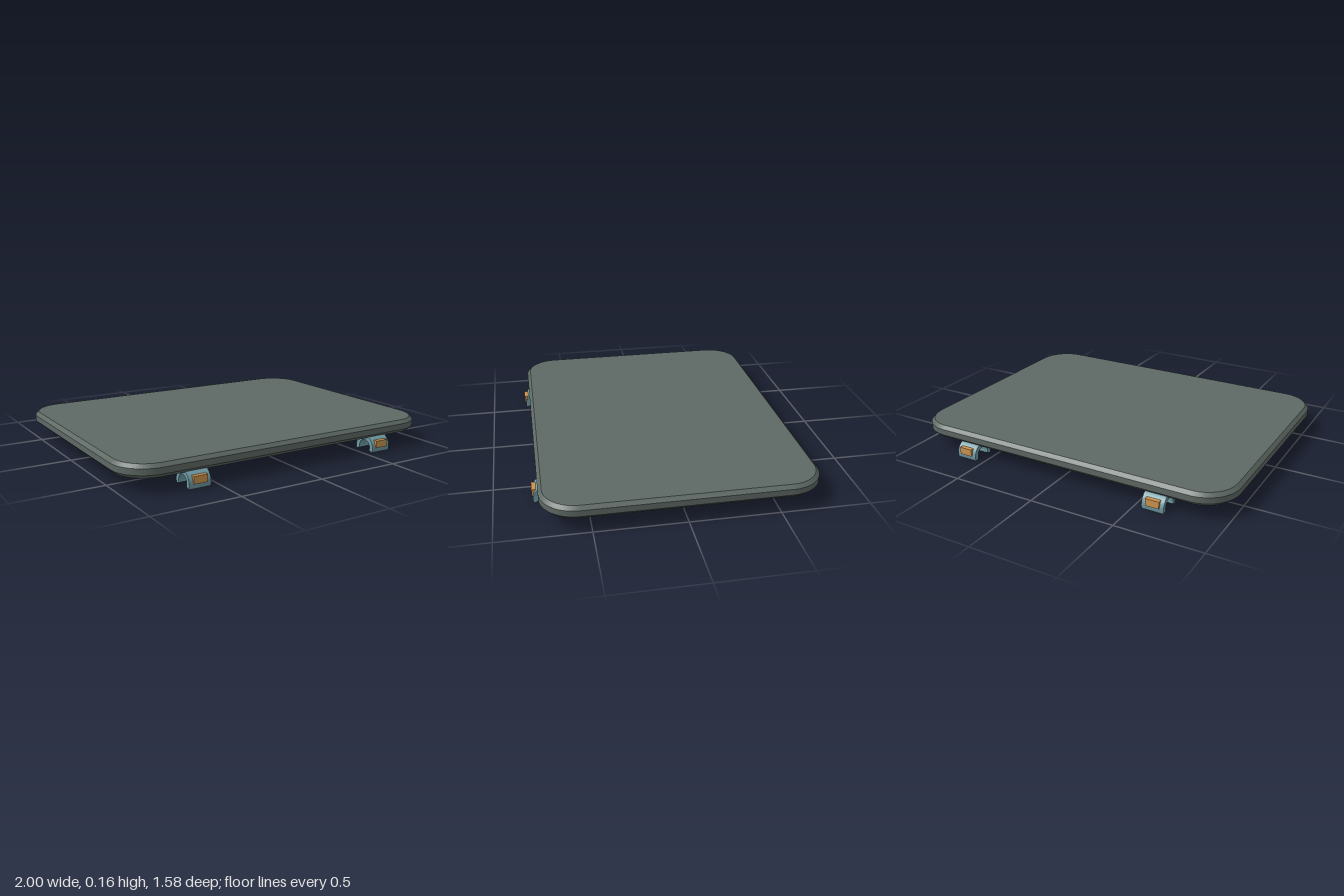
import * as THREE from 'three';

const slate = new THREE.MeshStandardMaterial({ name: 'slate grey', color: 0x5e6964 });
const teal = new THREE.MeshStandardMaterial({ name: 'dusty teal', color: 0x6f9ba5 });
const amber = new THREE.MeshStandardMaterial({ name: 'amber', color: 0xd0954e });

function addMesh(parent, name, geometry, material, x = 0, y = 0, z = 0) {
  const mesh = new THREE.Mesh(geometry, material);
  mesh.name = name;
  mesh.position.set(x, y, z);
  parent.add(mesh);
  return mesh;
}

// Rounded rectangle outline with half sizes w, h and corner radius r
function roundedRect(w, h, r) {
  const s = new THREE.Shape();
  s.absarc(w - r, h - r, r, 0, Math.PI / 2);
  s.absarc(r - w, h - r, r, Math.PI / 2, Math.PI);
  s.absarc(r - w, r - h, r, Math.PI, Math.PI * 1.5);
  s.absarc(w - r, r - h, r, Math.PI * 1.5, Math.PI * 2);
  s.closePath();
  return s;
}

// Chamfered slab lying flat
function slabGeometry() {
  const bevel = 0.02;
  const g = new THREE.ExtrudeGeometry(roundedRect(1 - bevel, 0.76 - bevel, 0.18), {
    depth: 0.035, bevelEnabled: true, bevelSize: bevel, bevelThickness: bevel,
    bevelSegments: 1, curveSegments: 10,
  });
  g.rotateX(-Math.PI / 2);
  g.translate(0, 0.08 + bevel, 0);
  return g;
}

// C-shaped snap clip, open at the bottom, running along x
function clipGeometry(width) {
  const dip = 0.33;
  const s = new THREE.Shape();
  s.absarc(0, 0, 0.069, -dip, Math.PI + dip, false);
  s.absarc(0, 0, 0.043, Math.PI + dip, -dip, true);
  s.closePath();
  const g = new THREE.ExtrudeGeometry(s, { depth: width, bevelEnabled: false, curveSegments: 14 });
  g.translate(0, 0, -width / 2);
  g.rotateY(Math.PI / 2);
  return g;
}

export function createModel() {
  const model = new THREE.Group();
  model.name = 'clipOnTray';

  addMesh(model, 'panel', slabGeometry(), slate);

  // Stiffening ribs underneath
  const rib = new THREE.BoxGeometry(1.64, 0.04, 0.085);
  for (const z of [-0.417, 0, 0.417]) addMesh(model, 'rib', rib, slate, 0, 0.07, z);

  // Four clips with release tabs on their outer sides
  const clip = clipGeometry(0.128);
  const tab = new THREE.BoxGeometry(0.08, 0.042, 0.03);
  for (const side of [-1, 1]) {
    for (const x of [-0.61, 0.61]) {
      const group = new THREE.Group();
      group.name = 'clipAssembly';
      group.position.set(x, 0.022, side * 0.717);
      addMesh(group, 'clip', clip, teal);
      addMesh(group, 'releaseTab', tab, amber, 0, 0.026, side * 0.06);
      model.add(group);
    }
  }
  return model;
}
